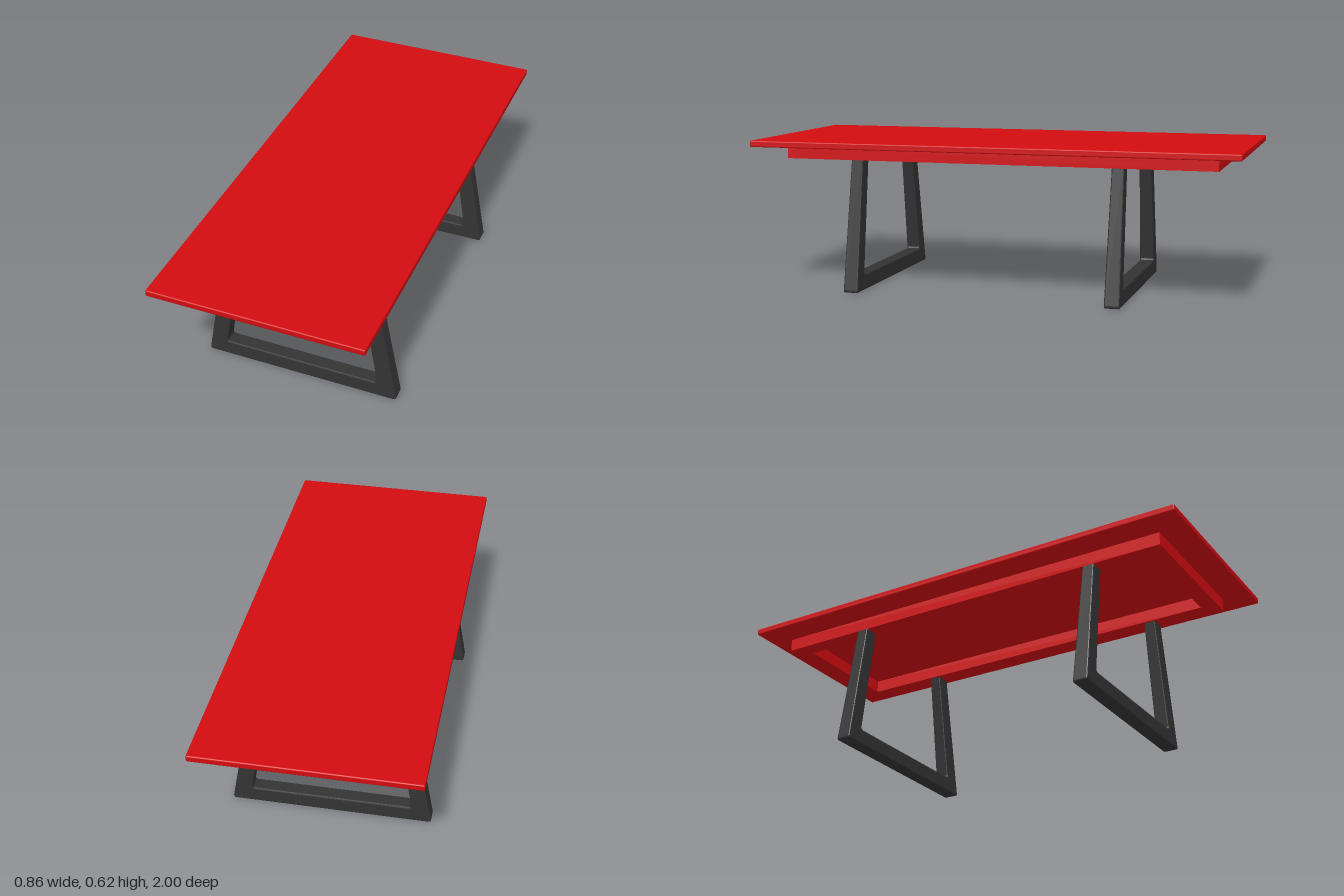
import * as THREE from 'three';
import { RoundedBoxGeometry } from 'three/addons/geometries/RoundedBoxGeometry.js';

const red = new THREE.MeshStandardMaterial({ color: 0xd20c10 });
const dark = new THREE.MeshStandardMaterial({ color: 0x333333 });

function add(parent, name, geometry, material, x = 0, y = 0, z = 0) {
  const mesh = new THREE.Mesh(geometry, material);
  mesh.name = name;
  mesh.position.set(x, y, z);
  parent.add(mesh);
  return mesh;
}

// One U-shaped leg frame: splayed legs joined by a floor bar, slimmer towards the top
function legFrameGeometry() {
  const s = new THREE.Shape();
  s.moveTo(-0.31, 0.545);
  s.lineTo(-0.405, 0.012);
  s.quadraticCurveTo(-0.407, 0, -0.395, 0);
  s.lineTo(0.395, 0);
  s.quadraticCurveTo(0.407, 0, 0.405, 0.012);
  s.lineTo(0.31, 0.545);
  s.lineTo(0.248, 0.545);
  s.lineTo(0.323, 0.078);
  s.quadraticCurveTo(0.325, 0.064, 0.311, 0.064);
  s.lineTo(-0.311, 0.064);
  s.quadraticCurveTo(-0.325, 0.064, -0.323, 0.078);
  s.lineTo(-0.248, 0.545);
  s.closePath();
  const bevel = 0.005, depth = 0.062;
  const g = new THREE.ExtrudeGeometry(s, {
    depth: depth - 2 * bevel, curveSegments: 5, bevelEnabled: true,
    bevelThickness: bevel, bevelSize: bevel, bevelOffset: -bevel, bevelSegments: 2,
  });
  g.translate(0, 0, bevel - depth / 2);
  const p = g.attributes.position;
  for (let i = 0; i < p.count; i++) p.setZ(i, p.getZ(i) * (1 - 0.36 * p.getY(i)));
  g.computeVertexNormals();
  return g;
}

// Rectangular apron ring, open in the middle
function apronGeometry(halfX, back, front, wall, height) {
  const rect = (Type, hx, z0, z1) => new Type([
    new THREE.Vector2(-hx, -z1), new THREE.Vector2(hx, -z1),
    new THREE.Vector2(hx, -z0), new THREE.Vector2(-hx, -z0),
  ]);
  const s = rect(THREE.Shape, halfX, back, front);
  s.holes.push(rect(THREE.Path, halfX - wall, back + wall, front - wall));
  const g = new THREE.ExtrudeGeometry(s, { depth: height, bevelEnabled: false });
  g.rotateX(-Math.PI / 2);
  return g;
}

export function createModel() {
  const table = new THREE.Group();
  table.name = 'table';

  add(table, 'tabletop', new RoundedBoxGeometry(0.858, 0.026, 2, 2, 0.005), red, 0, 0.602, 0);
  add(table, 'apron', apronGeometry(0.312, -0.9, 0.885, 0.07, 0.053), red, 0, 0.535, 0);

  const legs = legFrameGeometry();
  add(table, 'frontLegFrame', legs, dark, 0, 0, 0.576);
  add(table, 'backLegFrame', legs, dark, 0, 0, -0.51);
  return table;
}
